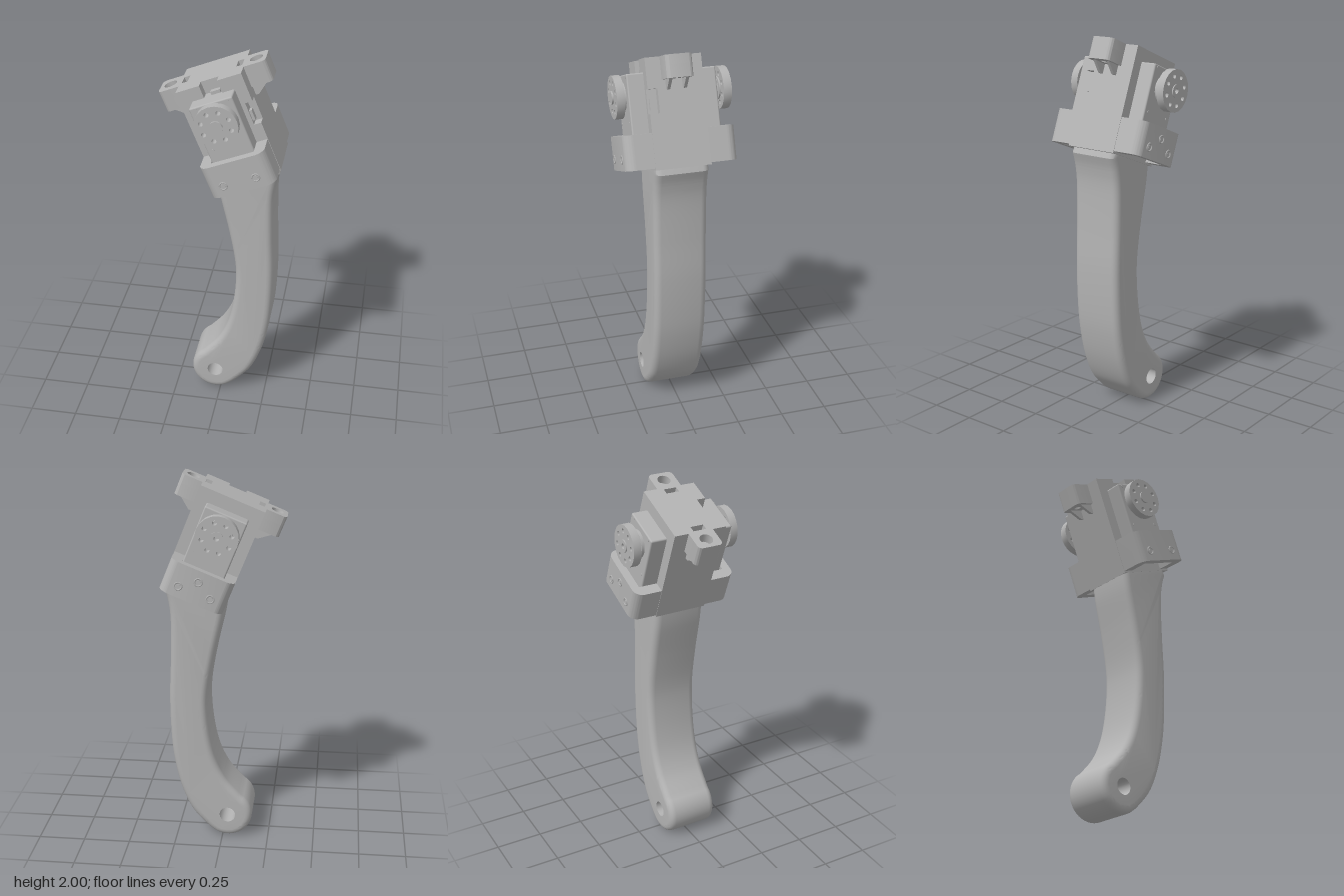
import * as THREE from 'three';
import { toCreasedNormals } from 'three/addons/utils/BufferGeometryUtils.js';
import { RoundedBoxGeometry } from 'three/addons/geometries/RoundedBoxGeometry.js';

const grey = new THREE.MeshStandardMaterial({ color: 0xb3b3b3 });
grey.name = 'plain grey';

const V = (x, y) => new THREE.Vector2(x, y);

function add(parent, name, geometry, x = 0, y = 0, z = 0) {
  const mesh = new THREE.Mesh(geometry, grey);
  mesh.name = name;
  mesh.position.set(x, y, z);
  parent.add(mesh);
  return mesh;
}

function circle(x, y, r) {
  return new THREE.Path().absarc(x, y, r, 0, Math.PI * 2, true);
}

function rect(x0, y0, x1, y1) {
  return new THREE.Shape([V(x0, y0), V(x1, y0), V(x1, y1), V(x0, y1)]);
}

// Rectangle with separate corner radii on its left and right ends
function roundRect(x0, y0, x1, y1, rl, rr) {
  const s = new THREE.Shape();
  const q = Math.PI / 2;
  s.moveTo(x0 + rl, y0);
  s.lineTo(x1 - rr, y0);
  if (rr) s.absarc(x1 - rr, y0 + rr, rr, -q, 0);
  s.lineTo(x1, y1 - rr);
  if (rr) s.absarc(x1 - rr, y1 - rr, rr, 0, q);
  s.lineTo(x0 + rl, y1);
  if (rl) s.absarc(x0 + rl, y1 - rl, rl, q, 2 * q);
  s.lineTo(x0, y0 + rl);
  if (rl) s.absarc(x0 + rl, y0 + rl, rl, 2 * q, 3 * q);
  return s;
}

// Plate extruded along z
function plate(shape, depth, holes = []) {
  shape.holes.push(...holes);
  return toCreasedNormals(new THREE.ExtrudeGeometry(shape, { depth, bevelEnabled: false, curveSegments: 10 }), 0.6);
}

// Slab extruded upwards from y0 to y1; shape y maps to -z
function slab(shape, y0, y1, holes) {
  return plate(shape, y1 - y0, holes).rotateX(-Math.PI / 2).translate(0, y0, 0);
}

function cylinderZ(r, z0, z1, sides = 28) {
  return new THREE.CylinderGeometry(r, r, z1 - z0, sides).rotateX(Math.PI / 2).translate(0, 0, (z0 + z1) / 2);
}

// Curved arm with rounded edges and a straight pivot hole
function buildArm() {
  const cx = -0.028, cy = 0.132, r = 0.132, holeR = 0.043, bevel = 0.035;
  const a = THREE.MathUtils.degToRad(122), b = THREE.MathUtils.degToRad(300);
  const s = new THREE.Shape();
  s.moveTo(cx + r * Math.cos(a), cy + r * Math.sin(a));
  s.absarc(cx, cy, r, a, b);
  s.splineThru([V(0.087, 0.058), V(0.167, 0.151), V(0.225, 0.284), V(0.262, 0.443), V(0.278, 0.6),
    V(0.283, 0.81), V(0.275, 1.025), V(0.272, 1.237), V(0.283, 1.343), V(0.303, 1.415)]);
  s.lineTo(0.26, 1.5);
  s.lineTo(0.03, 1.42);
  s.lineTo(-0.012, 1.338);
  s.splineThru([V(0.003, 1.237), V(0.045, 1.05), V(0.077, 0.867), V(0.082, 0.734), V(0.066, 0.575),
    V(0.034, 0.443), V(-0.019, 0.336), V(cx + r * Math.cos(a), cy + r * Math.sin(a))]);
  s.holes.push(circle(cx, cy, holeR));
  const g = new THREE.ExtrudeGeometry(s, {
    depth: 0.279 - 2 * bevel, bevelEnabled: true, bevelThickness: bevel, bevelSize: bevel,
    bevelOffset: -bevel, bevelSegments: 5, curveSegments: 10,
  });
  g.translate(0, 0, -0.13 + bevel);
  // Keep the bore the same width all the way through
  const p = g.attributes.position;
  for (let i = 0; i < p.count; i++) {
    const dx = p.getX(i) - cx, dy = p.getY(i) - cy, d = Math.hypot(dx, dy);
    if (d < 0.085) p.setXY(i, cx + dx * holeR / d, cy + dy * holeR / d);
  }
  return toCreasedNormals(g, 0.4);
}

// Round drive disc with eight bolt holes
function hornDisc(depth, centreHole) {
  const s = new THREE.Shape().absarc(0, 0, 0.109, 0, Math.PI * 2);
  const holes = [];
  for (let i = 0; i < 8; i++) {
    const t = (i + 0.35) * Math.PI / 4;
    holes.push(circle(0.076 * Math.cos(t), 0.076 * Math.sin(t), 0.012));
  }
  if (centreHole) holes.push(circle(0, 0, 0.014));
  return plate(s, depth, holes);
}

export function createModel() {
  const model = new THREE.Group();
  model.name = 'legSegment';
  add(model, 'arm', buildArm());

  // Tilted head, with its origin on the drive axis
  const head = new THREE.Group();
  head.name = 'head';
  head.position.set(0.008, 1.733, 0.0075);
  head.rotation.z = THREE.MathUtils.degToRad(22);
  model.add(head);

  // Central housing, stacked from slabs
  const w = 0.173, d = 0.1425;
  add(head, 'housingLower', slab(rect(-w, -d, w, d), -0.375, -0.1));
  add(head, 'housingSocketLayer', slab(new THREE.Shape([
    V(-w, -d), V(w - 0.038, -d), V(w - 0.038, -0.093), V(w, -0.093), V(w, d), V(-w, d),
  ]), -0.1, 0.02));
  add(head, 'housingUpper', slab(rect(-w, -d, w, d), 0.02, 0.105));
  const slots = [-0.146, 0.146].map((x) => rect(x - 0.016, -0.035, x + 0.016, 0.035));
  add(head, 'housingTop', slab(new THREE.Shape([
    V(-w, -d), V(-0.047, -d), V(-0.047, -0.095), V(0.048, -0.095), V(0.048, -d), V(w, -d), V(w, d), V(-w, d),
  ]), 0.105, 0.172, slots));

  // Small connectors in the two notches
  add(head, 'topConnector', new THREE.BoxGeometry(0.05, 0.02, 0.028), 0.015, 0.112, 0.118);
  add(head, 'sideConnector', new THREE.BoxGeometry(0.02, 0.055, 0.03), w - 0.034, -0.055, 0.118);

  // Mounting ears with counterbored holes and gussets
  for (const side of [1, -1]) {
    const ear = new THREE.Group();
    ear.name = side > 0 ? 'leftEar' : 'rightEar';
    ear.rotation.y = side > 0 ? 0 : Math.PI;
    head.add(ear);
    const outline = () => roundRect(w - 0.01, -0.0675, 0.285, 0.0675, 0, 0.024);
    add(ear, 'earLower', slab(outline(), 0.06, 0.125, [circle(0.23, 0, 0.018)]));
    add(ear, 'earUpper', slab(outline(), 0.125, 0.172, [circle(0.23, 0, 0.034)]));
    for (const z of [-0.042, 0.042]) {
      add(ear, 'earGusset', plate(new THREE.Shape([V(w - 0.005, 0.01), V(0.19, 0.01), V(0.255, 0.062), V(w - 0.005, 0.062)]), 0.016), 0, 0, z - 0.008);
    }
  }

  // Motor case
  add(head, 'motorCase', new RoundedBoxGeometry(0.226, 0.365, 0.455, 2, 0.008), 0, -0.0775, 0);

  // Bracket around the motor, open beneath
  const pockets = [-1, 1].map((s) => rect(-0.113, s > 0 ? 0.135 : -0.243, 0.113, s > 0 ? 0.243 : -0.135));
  add(head, 'bracket', slab(roundRect(-0.171, -0.2865, 0.171, 0.2865, 0.05, 0.05), -0.365, -0.192, pockets));

  // Bracket bolts and case screws
  const bolts = { 1: [[-0.086, -0.308], [0.086, -0.308]], '-1': [[-0.086, -0.308], [0.086, -0.308], [0, -0.25]] };
  for (const s of [1, -1]) {
    for (const [x, y] of bolts[s]) {
      add(head, 'bracketBoltRing', new THREE.TorusGeometry(0.019, 0.004, 6, 20), x, y, s * 0.2865);
      add(head, 'bracketBolt', cylinderZ(0.011, -0.002, 0.002, 16), x, y, s * 0.2865);
    }
    for (const x of [-0.083, 0.083]) {
      for (const y of [-0.135, 0.092]) add(head, 'caseScrew', cylinderZ(0.008, -0.002, 0.002, 12), x, y, s * 0.2275);
    }
  }

  // Front drive disc
  add(head, 'frontBoss', cylinderZ(0.072, 0.22, 0.2445));
  add(head, 'frontDisc', hornDisc(0.041, false), 0, 0, 0.2425);
  add(head, 'frontHub', cylinderZ(0.033, 0.28, 0.2925));

  // Rear drive disc on its spline
  add(head, 'rearBoss', cylinderZ(0.072, -0.243, -0.22));
  add(head, 'rearSpline', cylinderZ(0.038, -0.265, -0.24));
  add(head, 'rearCollar', cylinderZ(0.058, -0.2625, -0.255));
  add(head, 'rearDisc', hornDisc(0.042, true), 0, 0, -0.3045);
  const hub = new THREE.Shape().absarc(0, 0, 0.033, 0, Math.PI * 2);
  add(head, 'rearHub', plate(hub, 0.01, [circle(0, 0, 0.014)]), 0, 0, -0.311);

  return model;
}
